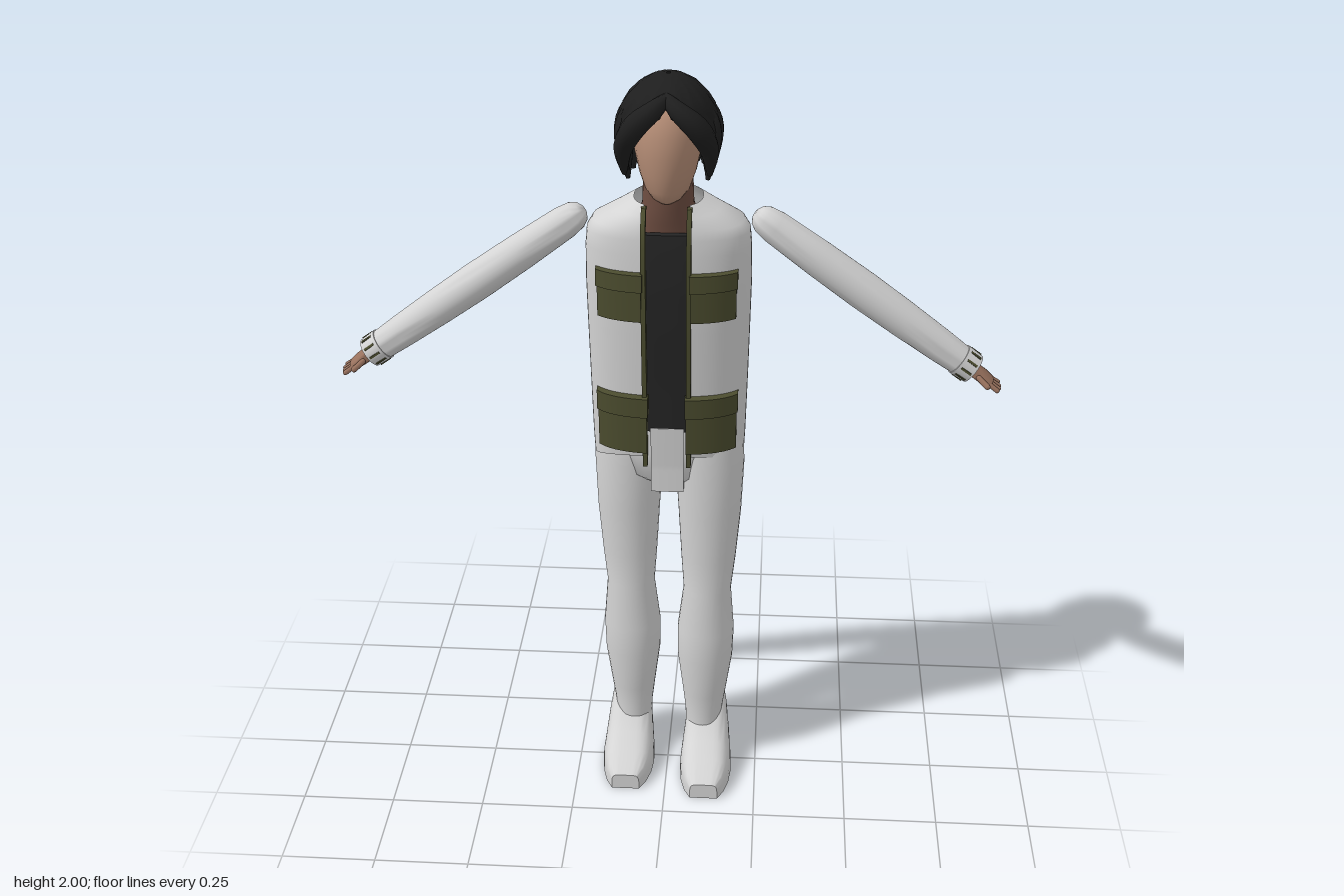
import * as THREE from 'three';
import { toCreasedNormals } from 'three/addons/utils/BufferGeometryUtils.js';

const material = (name, color, side = THREE.FrontSide) => {
  const m = new THREE.MeshStandardMaterial({ color, side });
  m.name = name;
  return m;
};

// Skin a stack of rings; each ring is an array of [x, y, z]
function loft(rings, { closed = true, crease = 1 } = {}) {
  const n = rings[0].length, pos = rings.flat(2), idx = [];
  const cols = closed ? n : n - 1;
  for (let i = 0; i < rings.length - 1; i++) {
    for (let j = 0; j < cols; j++) {
      const a = i * n + j, b = i * n + (j + 1) % n;
      idx.push(a, b, b + n, a, b + n, a + n);
    }
  }
  if (closed) {
    [0, rings.length - 1].forEach((r, top) => {
      const c = pos.length / 3;
      for (let k = 0; k < 3; k++) pos.push(rings[r].reduce((s, p) => s + p[k], 0) / n);
      for (let j = 0; j < n; j++) {
        const a = r * n + j, b = r * n + (j + 1) % n;
        if (top) idx.push(c, a, b); else idx.push(c, b, a);
      }
    });
  }
  const g = new THREE.BufferGeometry();
  g.setAttribute('position', new THREE.Float32BufferAttribute(pos, 3));
  g.setIndex(idx);
  return toCreasedNormals(g, crease);
}

// Rounded sections: rows are [y, centre x, half width, front z, back z]
const power = (v, e) => Math.sign(v) * Math.abs(v) ** e;
const point = ([y, cx, rx, zf, zb], t, e = 1) =>
  [cx + rx * power(Math.sin(t), e), y, (zf + zb) / 2 + (zf - zb) / 2 * power(Math.cos(t), e)];
const rounded = (rows, e = 1, n = 28) =>
  loft(rows.map(r => Array.from({ length: n }, (_, j) => point(r, j / n * Math.PI * 2, e))));

// Tapered lock of hair along a curve
function lockGeometry(points, radius) {
  const curve = new THREE.CatmullRomCurve3(points.map(p => new THREE.Vector3(...p)));
  const steps = 12, f = curve.computeFrenetFrames(steps);
  return loft(Array.from({ length: steps + 1 }, (_, i) => {
    const p = curve.getPointAt(i / steps);
    const r = radius * (0.1 + 0.9 * Math.sin(Math.PI * (0.12 + 0.84 * i / steps)));
    return Array.from({ length: 10 }, (_, j) => {
      const a = j / 10 * Math.PI * 2;
      return p.clone().addScaledVector(f.normals[i], r * Math.cos(a))
        .addScaledVector(f.binormals[i], r * Math.sin(a)).toArray();
    });
  }));
}

// Jacket sections and the height of its front surface
const E = 0.8;
const JACKET = [
  [0.96, 0, 0.197, 0.045, -0.185], [1.03, 0, 0.2, 0.05, -0.185], [1.2, 0, 0.204, 0.062, -0.184],
  [1.36, 0, 0.207, 0.078, -0.18], [1.48, 0, 0.209, 0.085, -0.174], [1.57, 0, 0.207, 0.084, -0.152],
  [1.61, 0, 0.203, 0.082, -0.142], [1.635, 0, 0.188, 0.079, -0.136], [1.665, 0, 0.13, 0.07, -0.128],
  [1.69, 0, 0.085, 0.056, -0.118]];
function frontZ(x, y) {
  let i = 0;
  while (i < JACKET.length - 2 && y > JACKET[i + 1][0]) i++;
  const a = JACKET[i], b = JACKET[i + 1];
  const t = THREE.MathUtils.clamp((y - a[0]) / (b[0] - a[0]), 0, 1);
  const [, , rx, zf, zb] = a.map((v, k) => v + (b[k] - v) * t);
  const u = Math.min(Math.abs(x) / rx, 1) ** (2 / E);
  return (zf + zb) / 2 + (zf - zb) / 2 * (1 - u) ** (E / 2);
}
// Slab bent to lie on the jacket front
function bentSlab(x, y, w, h, thick, offset) {
  const g = new THREE.BoxGeometry(w, h, thick, 8, 24, 1).translate(x, y, offset);
  const p = g.attributes.position;
  for (let i = 0; i < p.count; i++) p.setZ(i, p.getZ(i) + frontZ(p.getX(i), p.getY(i)));
  g.computeVertexNormals();
  return g;
}

export function createModel() {
  const model = new THREE.Group();
  model.name = 'figure';
  const cloth = material('light cloth', 0xd4d4d4);
  const jacketCloth = material('jacket cloth', 0xd4d4d4, THREE.DoubleSide);
  const green = material('olive green', 0x4c4d2f);
  const black = material('shirt black', 0x252525);
  const hairMat = material('hair black', 0x1e1e1e, THREE.DoubleSide);
  const faceSkin = material('face skin', 0xb58d76);
  const neckSkin = material('neck skin', 0x6c4c40);
  const handSkin = material('hand skin', 0x99725e);
  const add = (name, geometry, mat, parent = model) => {
    const m = new THREE.Mesh(geometry, mat);
    m.name = name;
    parent.add(m);
    return m;
  };

  // Open jacket with a hem that drops at the back
  const N = 56;
  add('jacket', loft(JACKET.map((row, i) => {
    const start = Math.asin((0.056 / row[2]) ** (1 / E));
    return Array.from({ length: N + 1 }, (_, j) => {
      const t = start + (Math.PI * 2 - 2 * start) * j / N;
      const p = point(row, t, E);
      if (i === 0) p[1] = 0.96 + 0.04 * Math.cos(t);
      return p;
    });
  }), { closed: false }), jacketCloth);
  add('shirt', bentSlab(0, 1.345, 0.13, 0.55, 0.02, -0.022), black);
  add('fly', bentSlab(0, 0.985, 0.085, 0.19, 0.03, -0.025), cloth);
  add('pelvis', rounded([[0.885, 0, 0.04, 0.0, -0.15], [0.92, 0, 0.1, 0.025, -0.16],
    [1.0, 0, 0.125, 0.035, -0.165], [1.1, 0, 0.17, 0.03, -0.165]], 0.7), cloth);
  for (const s of [-1, 1]) {
    add('jacketTrim', bentSlab(s * 0.056, 1.33, 0.012, 0.71, 0.022, 0.001), green);
    add('chestPocket', bentSlab(s * 0.117, 1.46, 0.112, 0.12, 0.024, 0.006), green);
    add('chestPocketFlap', bentSlab(s * 0.117, 1.505, 0.118, 0.045, 0.03, 0.008), green);
    add('hipPocket', bentSlab(s * 0.114, 1.097, 0.128, 0.155, 0.026, 0.007), green);
    add('hipPocketFlap', bentSlab(s * 0.114, 1.155, 0.134, 0.055, 0.032, 0.01), green);
  }

  // Arms, cuffs and hands, each built along its own y axis
  for (const s of [-1, 1]) {
    const arm = new THREE.Group();
    arm.name = s > 0 ? 'leftArm' : 'rightArm';
    const from = new THREE.Vector3(s * 0.213, 1.638, -0.055), to = new THREE.Vector3(s * 0.775, 1.243, -0.027);
    const length = from.distanceTo(to);
    arm.position.copy(from);
    arm.quaternion.setFromUnitVectors(new THREE.Vector3(0, 1, 0), to.sub(from).normalize());
    model.add(arm);
    const profile = [[0, 0.012], [0.008, 0.026], [0.025, 0.036], [0.06, 0.042], [0.2, 0.047],
      [0.34, 0.049], [0.46, 0.047], [0.58, 0.043], [length, 0.037]];
    add('sleeve', rounded(profile.map(([y, r]) => [y, 0, r, r, -r])), cloth, arm);
    add('cuff', new THREE.CylinderGeometry(0.04, 0.0425, 0.045, 24).translate(0, length - 0.021, 0), cloth, arm);
    for (let k = 0; k < 10; k++) {
      const tick = add('cuffStripe', new THREE.BoxGeometry(0.006, 0.03, 0.004), green, arm);
      const a = k / 10 * Math.PI * 2;
      tick.position.set(0.041 * Math.sin(a), length - 0.02, 0.041 * Math.cos(a));
      tick.rotation.y = a;
    }
    const L = length;
    add('palm', rounded([[L - 0.02, 0, 0.022, 0.024, -0.024], [L + 0.01, 0, 0.017, 0.024, -0.024],
      [L + 0.035, 0, 0.015, 0.031, -0.03], [L + 0.06, 0, 0.01, 0.028, -0.03]], 0.8, 16), handSkin, arm);
    for (let k = 0; k < 4; k++) {
      const finger = add('finger', new THREE.CapsuleGeometry(0.0068, 0.034, 3, 8), handSkin, arm);
      finger.position.set(0, L + 0.07 - 0.004 * Math.abs(k - 1.3), -0.023 + k * 0.0155);
      finger.rotation.x = (k - 1.5) * 0.1;
    }
    const thumb = add('thumb', new THREE.CapsuleGeometry(0.008, 0.03, 3, 8), handSkin, arm);
    thumb.position.set(0, L + 0.035, 0.036);
    thumb.rotation.x = 0.5;
  }

  // Legs and shoes; the right side stands slightly further back
  for (const s of [-1, 1]) {
    const leg = new THREE.Group();
    leg.name = s > 0 ? 'leftLeg' : 'rightLeg';
    leg.position.z = s > 0 ? 0 : -0.03;
    model.add(leg);
    const rows = [[0.11, 0.1, 0.05, 0.02, -0.08], [0.16, 0.1, 0.052, 0.018, -0.08], [0.22, 0.101, 0.06, 0.025, -0.09],
      [0.34, 0.102, 0.076, 0.037, -0.102], [0.43, 0.103, 0.078, 0.036, -0.104], [0.56, 0.106, 0.065, 0.024, -0.092],
      [0.66, 0.108, 0.074, 0.024, -0.1], [0.8, 0.11, 0.084, 0.03, -0.115], [0.95, 0.108, 0.092, 0.034, -0.125],
      [1.05, 0.103, 0.092, 0.03, -0.125]];
    add('trouserLeg', rounded(rows.map(([y, x, ...r]) => [y, s * x, ...r])), cloth, leg);
    // [z, half width, top, bottom, squareness]
    const shoe = [[-0.115, 0.045, 0.19, 0.012, 0.15], [-0.075, 0.056, 0.19, 0.004, 0.35], [-0.03, 0.064, 0.178, 0, 0.55],
      [0.015, 0.07, 0.128, 0, 0.65], [0.06, 0.072, 0.1, 0, 0.65], [0.11, 0.067, 0.077, 0, 0.6],
      [0.155, 0.055, 0.06, 0, 0.5], [0.187, 0.038, 0.045, 0, 0.35]];
    add('shoe', loft(shoe.map(([z, w, top, bottom, e]) => Array.from({ length: 21 }, (_, j) => {
      const a = j / 20 * Math.PI;
      return [s * 0.11 + w * power(Math.cos(a), e), bottom + (top - bottom) * Math.max(Math.sin(a), 0) ** e, z];
    })), { crease: 0.7 }), cloth, leg);
  }

  // Neck and head
  add('neck', rounded([[1.58, 0, 0.09, 0.045, -0.11], [1.64, 0, 0.078, 0.05, -0.1],
    [1.68, 0, 0.064, 0.06, -0.08], [1.78, 0, 0.06, 0.055, -0.075]]), neckSkin);
  add('head', rounded([[1.7, 0, 0.018, 0.068, 0.02], [1.708, 0, 0.036, 0.075, -0.01], [1.73, 0, 0.055, 0.085, -0.05],
    [1.77, 0, 0.07, 0.094, -0.085], [1.82, 0, 0.081, 0.1, -0.1], [1.87, 0, 0.085, 0.096, -0.11],
    [1.92, 0, 0.077, 0.08, -0.1], [1.95, 0, 0.05, 0.05, -0.08]]), faceSkin);

  // Hair shell parted around the face: [y, centre x, half width, front z, back z, opening half width]
  const shell = [[1.755, 0, 0.106, 0.06, -0.14, 0.09], [1.8, 0, 0.119, 0.08, -0.143, 0.092], [1.85, 0, 0.125, 0.092, -0.145, 0.08],
    [1.885, 0, 0.122, 0.096, -0.142, 0.058], [1.92, 0, 0.113, 0.095, -0.134, 0.012], [1.95, 0, 0.095, 0.082, -0.118, 0],
    [1.975, 0, 0.07, 0.058, -0.095, 0], [1.992, 0, 0.04, 0.028, -0.065, 0], [1.999, 0, 0.005, -0.01, -0.025, 0]];
  const H = 72;
  add('hairShell', loft(shell.map((row, i) => {
    const start = Math.asin(row[5] / row[2]);
    return Array.from({ length: H + 1 }, (_, j) => {
      const t = start + (Math.PI * 2 - 2 * start) * j / H;
      const k = 1 + 0.02 * Math.cos(j / H * Math.PI * 2 * 18);
      const p = point([row[0], 0, row[2] * k, row[3] * k, row[4] * k], t);
      if (i === 0) p[1] += 0.012 * Math.cos(j / H * Math.PI * 2 * 12);
      return p;
    });
  }), { closed: false }), hairMat);
  for (const s of [-1, 1]) {
    add('fringe', lockGeometry([[-s * 0.004, 1.962, 0.06], [s * 0.03, 1.938, 0.094], [s * 0.073, 1.9, 0.095],
      [s * 0.102, 1.84, 0.066], [s * 0.103, 1.765, 0.035]], 0.029), hairMat);
  }
  for (let k = 0; k < 11; k++) {
    const a = (75 + k * 21) * Math.PI / 180, x = Math.sin(a), z = Math.cos(a);
    add('hairLock', lockGeometry([[x * 0.085, 1.94, -0.025 + z * 0.085], [x * 0.108, 1.88, -0.025 + z * 0.103],
      [x * 0.108, 1.81, -0.025 + z * 0.104], [x * 0.1, 1.742 + 0.012 * (k % 2), -0.025 + z * 0.106]], 0.024), hairMat);
  }
  return model;
}
